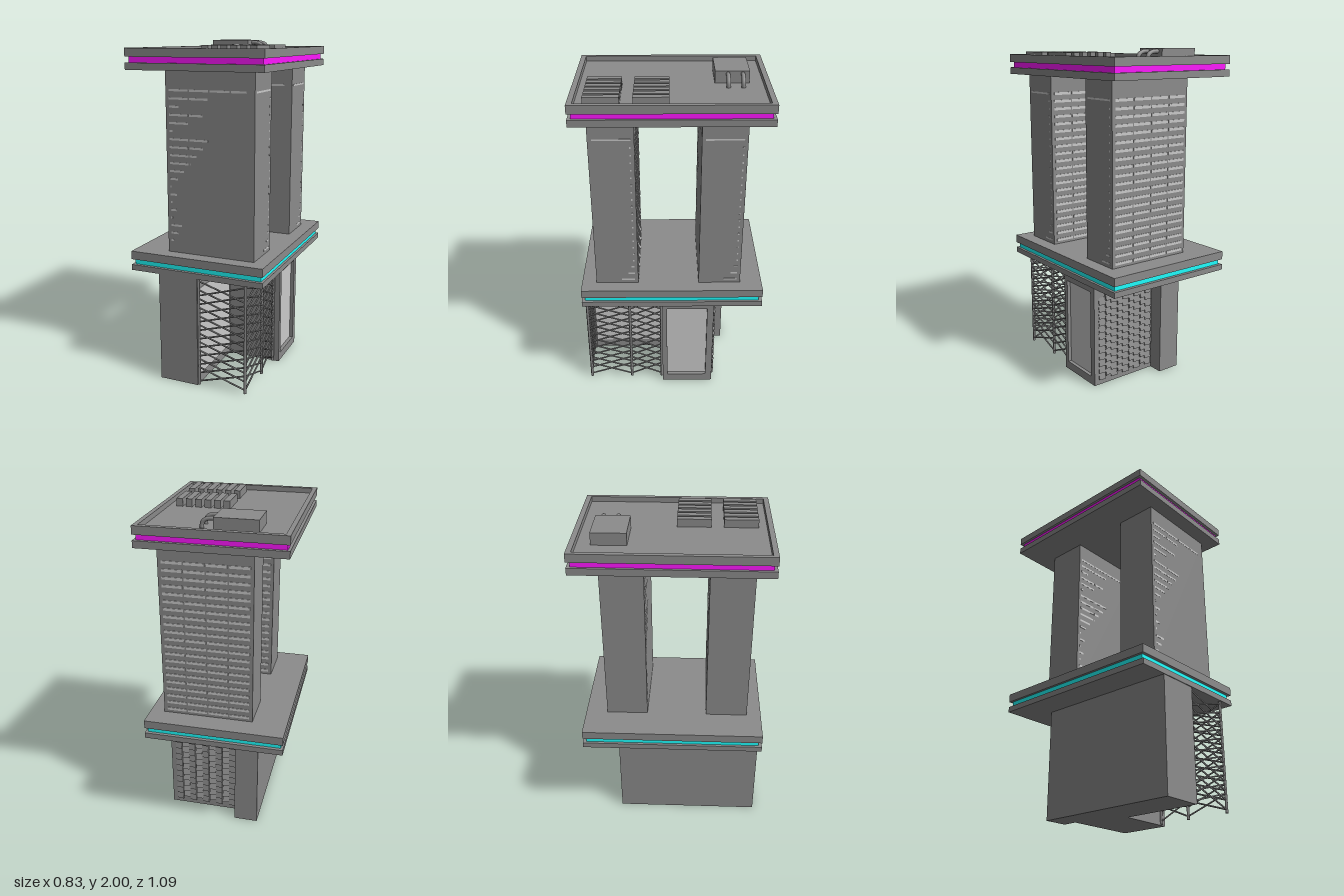
import * as THREE from 'three';

const wallMat = new THREE.MeshStandardMaterial({ color: 0x8c8c8c });
const paleMat = new THREE.MeshStandardMaterial({ color: 0xcccccc });
const cyanMat = new THREE.MeshStandardMaterial({ color: 0x20ffff });
const magentaMat = new THREE.MeshStandardMaterial({ color: 0xff18ff });

// Box given by its minimum and maximum corners
function block(parent, name, x0, x1, y0, y1, z0, z1, mat = wallMat) {
  const mesh = new THREE.Mesh(new THREE.BoxGeometry(x1 - x0, y1 - y0, z1 - z0), mat);
  mesh.position.set((x0 + x1) / 2, (y0 + y1) / 2, (z0 + z1) / 2);
  mesh.name = name;
  parent.add(mesh);
  return mesh;
}

function group(parent, name) {
  const g = new THREE.Group();
  g.name = name;
  parent.add(g);
  return g;
}

// Thin rod between two points
function rod(parent, name, a, b, radius) {
  const dir = b.clone().sub(a);
  const mesh = new THREE.Mesh(new THREE.CylinderGeometry(radius, radius, dir.length(), 6), wallMat);
  mesh.position.copy(a).add(b).multiplyScalar(0.5);
  mesh.quaternion.setFromUnitVectors(new THREE.Vector3(0, 1, 0), dir.normalize());
  mesh.name = name;
  parent.add(mesh);
}

// Rectangular plate with a rectangular hole, extruded along +z
function framePlate(w, h, hx0, hx1, hy0, hy1, depth) {
  const s = new THREE.Shape([[0, 0], [w, 0], [w, h], [0, h]].map(p => new THREE.Vector2(...p)));
  s.holes.push(new THREE.Path([[hx0, hy0], [hx0, hy1], [hx1, hy1], [hx1, hy0]].map(p => new THREE.Vector2(...p))));
  return new THREE.ExtrudeGeometry(s, { depth, bevelEnabled: false });
}

function buildTower(parent, name, z0, z1) {
  const t = group(parent, name);
  block(t, 'towerWall', -0.21, 0.33, 0.78, 1.845, z0, z1);
  const rowY = i => 1.73 - i * 0.046;
  // Back window strips: four columns
  for (let i = 0; i < 21; i++) {
    for (let c = 0; c < 4; c++) {
      const x = -0.19 + c * 0.127;
      block(t, 'backWindow', x, x + 0.118, rowY(i) - 0.008, rowY(i) + 0.008, z0 - 0.003, z0 + 0.01, paleMat);
    }
  }
  // Front window strips run out to the right by a different length in each row
  const ends = [0.28, 0.05, -0.13, 0.02, -0.07, -0.17, 0.05, 0.02, -0.02, -0.06,
    -0.1, -0.14, -0.184, -0.15, -0.18, -0.155, -0.18, -0.12, -0.145, -0.175];
  ends.forEach((end, i) => {
    for (let x = -0.19; x < end; x += 0.127) {
      block(t, 'frontWindow', x, Math.min(x + 0.118, end), rowY(i) - 0.006, rowY(i) + 0.006, z1 - 0.01, z1 + 0.001, paleMat);
    }
  });
  // Side window strips, mostly short marks near the back edge
  for (let i = 0; i < 21; i++) {
    const len = i === 0 ? 0.21 : i === 20 ? 0.08 : i === 19 ? 0.04 : i === 18 ? 0.02 : 0.008;
    block(t, 'sideWindow', 0.32, 0.331, rowY(i) - 0.005, rowY(i) + 0.005, z0 + 0.02, z0 + 0.02 + len, paleMat);
  }
}

function buildBase(parent) {
  const b = group(parent, 'base');
  const top = 0.675;
  block(b, 'longBlock', -0.235, 0.01, 0, top, -0.26, 0.54);
  block(b, 'backColumn', -0.235, -0.09, 0, top, -0.35, -0.26);
  block(b, 'rearBlock', 0.01, 0.32, 0, top, -0.26, 0.06);

  // Framed side window
  const frame = new THREE.Mesh(framePlate(0.32, top, 0.03, 0.28, 0.05, 0.595, 0.03), wallMat);
  frame.rotation.y = Math.PI / 2;
  frame.position.set(0.32, 0, 0.06);
  frame.name = 'windowFrame';
  b.add(frame);
  block(b, 'windowPane', 0.315, 0.328, 0.05, 0.595, -0.22, 0.03, paleMat);
  block(b, 'innerPane', 0.005, 0.014, 0.06, 0.6, 0.07, 0.515, paleMat);

  // Tilted scales on the back wall, staggered by column
  const scales = group(b, 'backScales');
  for (let c = 0; c < 9; c++) {
    for (let r = 0; r < 12; r++) {
      const s = new THREE.Mesh(new THREE.BoxGeometry(0.042, 0.046, 0.01), wallMat);
      s.position.set(-0.055 + c * 0.044, 0.055 + r * 0.044 + (c % 2) * 0.02, -0.263);
      s.rotation.set(0.25, c % 2 ? 0.2 : -0.2, 0);
      s.name = 'scale';
      scales.add(s);
    }
  }

  // Crossed lattice around the open corner
  const lattice = group(b, 'lattice');
  const plan = [[0.017, 0.53], [0.31, 0.53], [0.31, 0.265], [0.31, 0.067]];
  const at = (p, y) => new THREE.Vector3(p[0], y, p[1]);
  plan.forEach(p => rod(lattice, 'latticePost', at(p, 0.005), at(p, top), 0.009));
  for (let k = 0; k < 3; k++) {
    for (let i = 0; i < 11; i++) {
      const y = 0.025 + i * 0.054;
      rod(lattice, 'latticeBar', at(plan[k], y), at(plan[k + 1], y + 0.09), 0.005);
      rod(lattice, 'latticeBar', at(plan[k], y + 0.09), at(plan[k + 1], y), 0.005);
    }
  }
}

function buildRoof(parent) {
  const r = group(parent, 'roof');
  block(r, 'lowerSlab', -0.415, 0.415, 1.84, 1.88, -0.545, 0.545);
  block(r, 'magentaBand', -0.4, 0.4, 1.88, 1.912, -0.525, 0.525, magentaMat);
  block(r, 'upperSlab', -0.415, 0.415, 1.912, 1.93, -0.545, 0.545);
  // Parapet rim
  const rim = new THREE.Mesh(framePlate(0.83, 1.09, 0.027, 0.803, 0.03, 1.06, 0.03), wallMat);
  rim.rotation.x = -Math.PI / 2;
  rim.position.set(-0.415, 1.93, 0.545);
  rim.name = 'parapet';
  r.add(rim);
  // Plant box with two bent pipes
  block(r, 'plantBox', -0.238, 0.006, 1.925, 2.0, -0.438, -0.243);
  for (const z of [-0.398, -0.315]) {
    const path = new THREE.CatmullRomCurve3([[0, 1.983], [0.035, 1.983], [0.062, 1.973], [0.075, 1.955], [0.077, 1.925]]
      .map(p => new THREE.Vector3(p[0], p[1], z)));
    const pipe = new THREE.Mesh(new THREE.TubeGeometry(path, 16, 0.012, 12), wallMat);
    pipe.name = 'pipe';
    r.add(pipe);
  }
  // Two rows of vents
  for (const z of [0.012, 0.275]) {
    for (let i = 0; i < 6; i++) {
      const x = 0.022 + i * 0.0566;
      block(r, 'vent', x, x + 0.038, 1.925, 1.976, z, z + 0.193);
    }
  }
}

export function createModel() {
  const model = new THREE.Group();
  model.name = 'building';
  buildBase(model);

  // Middle deck with cyan band
  const deck = group(model, 'deck');
  block(deck, 'lowerSlab', -0.415, 0.415, 0.668, 0.702, -0.545, 0.545);
  block(deck, 'cyanBand', -0.4, 0.4, 0.702, 0.735, -0.525, 0.525, cyanMat);
  block(deck, 'upperSlab', -0.415, 0.415, 0.735, 0.785, -0.545, 0.545);

  buildTower(model, 'frontTower', 0.203, 0.457);
  buildTower(model, 'rearTower', -0.413, -0.162);
  buildRoof(model);
  return model;
}
